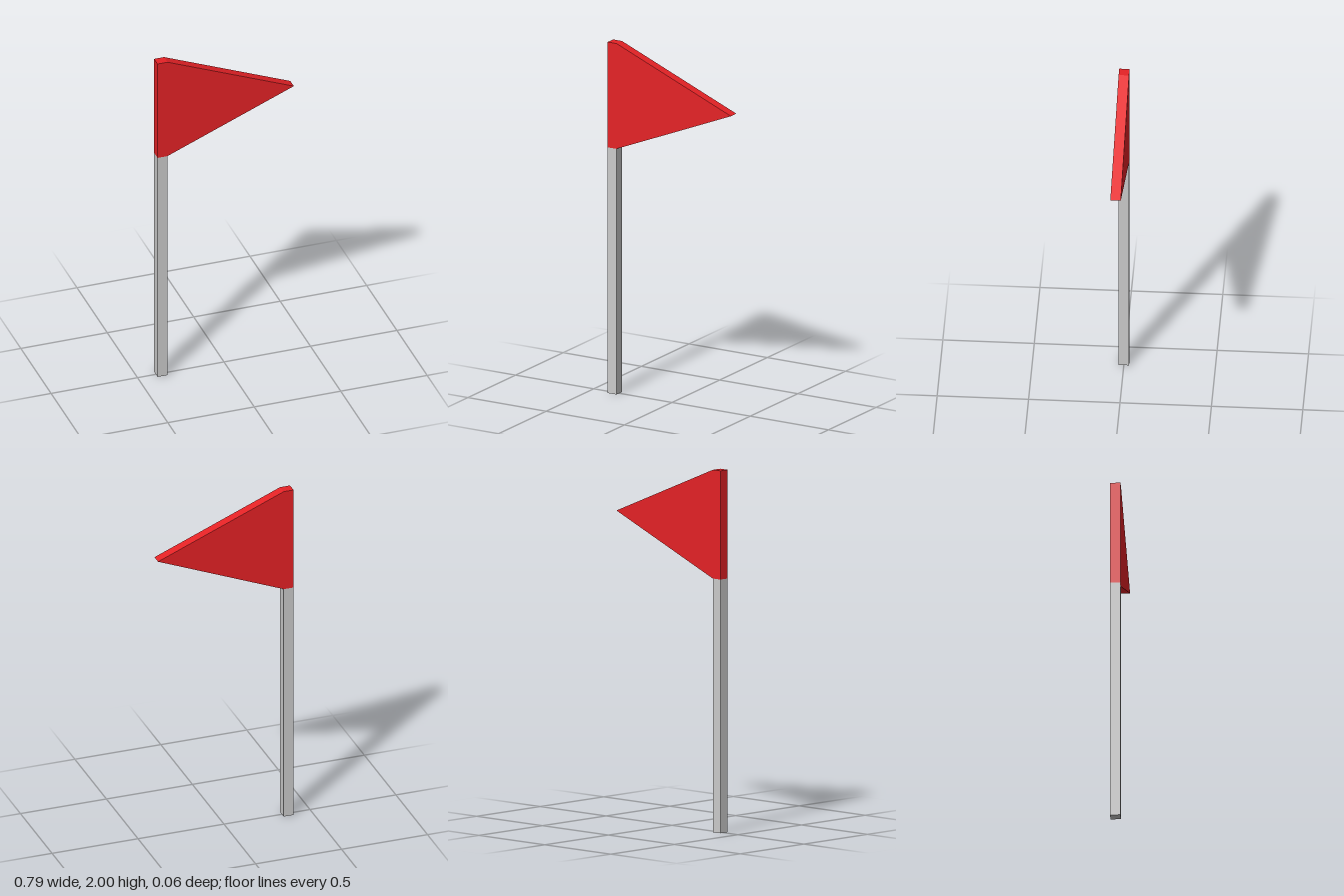
import * as THREE from 'three';

export function createModel() {
  const model = new THREE.Group();
  const thickness = 0.057;
  const left = -0.394, poleRight = left + thickness, tip = 0.394;
  const flagBottom = 1.4, flagTop = 2;

  // Square pole, ending where the flag begins
  const pole = new THREE.Mesh(
    new THREE.BoxGeometry(thickness, flagBottom, thickness),
    new THREE.MeshStandardMaterial({ color: 0xcccccc, flatShading: true })
  );
  pole.name = 'pole';
  pole.position.set((left + poleRight) / 2, flagBottom / 2, 0);

  // Triangular pennant with a short square hem over the pole
  const outline = new THREE.Shape([
    new THREE.Vector2(left, flagBottom),
    new THREE.Vector2(poleRight, flagBottom),
    new THREE.Vector2(tip, (flagBottom + flagTop) / 2),
    new THREE.Vector2(poleRight, flagTop),
    new THREE.Vector2(left, flagTop)
  ]);
  const flag = new THREE.Mesh(
    new THREE.ExtrudeGeometry(outline, { depth: thickness, bevelEnabled: false }),
    new THREE.MeshStandardMaterial({ color: 0xe62226, flatShading: true })
  );
  flag.name = 'flag';
  flag.position.z = -thickness / 2;

  model.add(pole, flag);
  return model;
}
